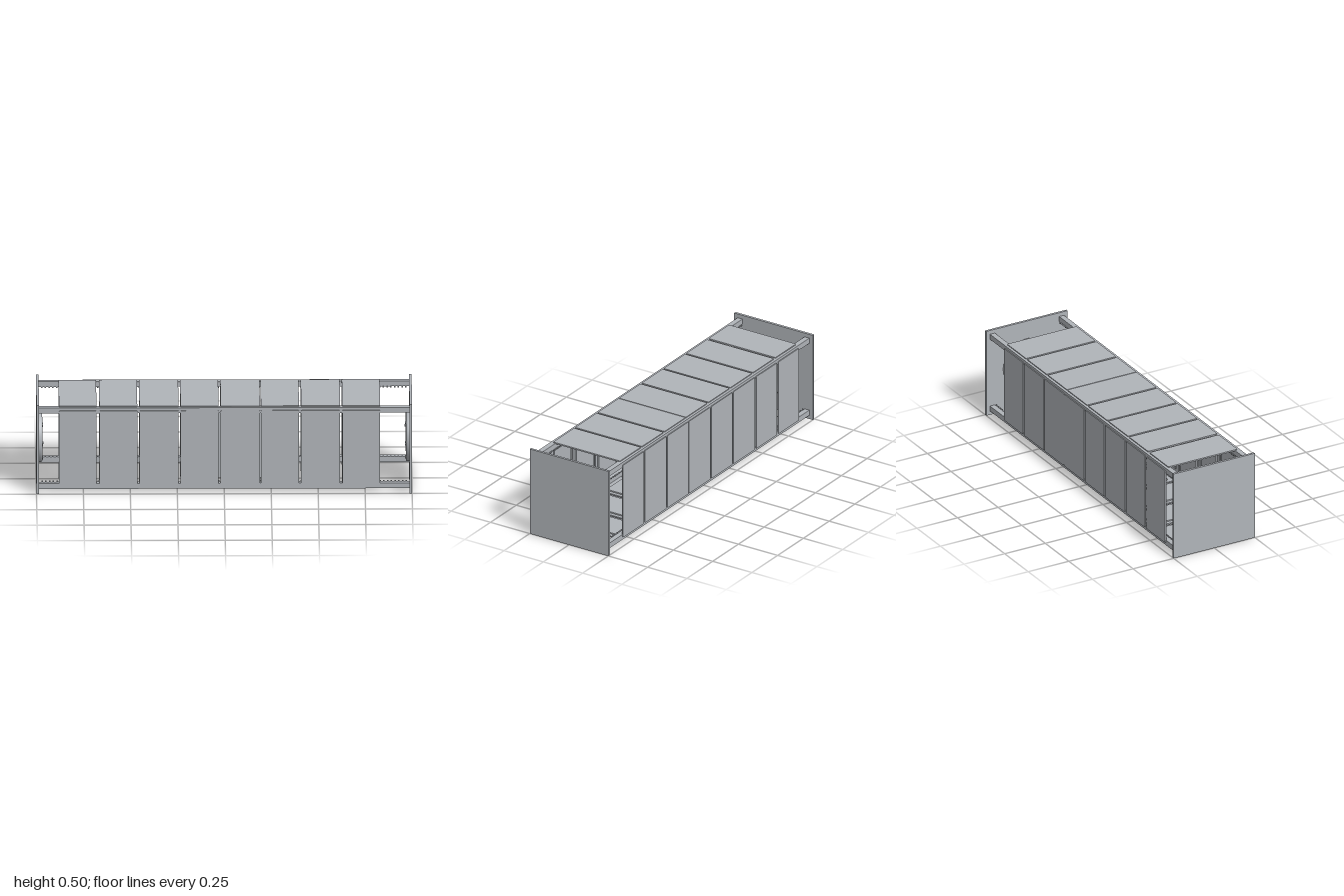
import * as THREE from 'three';

export function createModel() {
  const model = new THREE.Group();
  model.name = 'boxFrame';
  const grey = new THREE.MeshStandardMaterial({ color: 0xb0b4b9 });
  grey.name = 'satin grey';

  const add = (parent, name, geometry, x = 0, y = 0, z = 0) => {
    const mesh = new THREE.Mesh(geometry, grey);
    mesh.name = name;
    mesh.position.set(x, y, z);
    parent.add(mesh);
    return mesh;
  };
  const box = (w, h, d) => new THREE.BoxGeometry(w, h, d);

  // Everything is built around the long axis, then lifted to stand on the floor
  const body = new THREE.Group();
  body.name = 'body';
  body.position.y = 0.25;
  model.add(body);

  // Square end plates, each with a shallow rimmed dish and bolts on its inner face
  const dishProfile = [[0, 0.008], [0.08, 0.008], [0.115, 0.011], [0.128, 0.018],
    [0.14, 0.018], [0.147, 0.012], [0.147, 0]].map(([r, h]) => new THREE.Vector2(r, h)).reverse();
  for (const s of [-1, 1]) {
    const end = new THREE.Group();
    end.name = s > 0 ? 'leftEnd' : 'rightEnd';
    body.add(end);
    add(end, 'endPlate', box(0.014, 0.5, 0.5), s * 0.993);
    const dish = add(end, 'dish', new THREE.LatheGeometry(dishProfile, 48), s * 0.986);
    dish.rotation.z = s * Math.PI / 2;
    for (let i = 0; i < 8; i++) {
      const a = i * Math.PI / 4;
      const bolt = add(end, 'dishBolt', new THREE.CylinderGeometry(0.006, 0.006, 0.006, 12),
        s * 0.966, 0.134 * Math.cos(a), 0.134 * Math.sin(a));
      bolt.rotation.z = Math.PI / 2;
    }
  }

  // Four corner rails with a row of small studs along their inner edges
  for (const sy of [-1, 1]) for (const sz of [-1, 1]) {
    const rail = new THREE.Group();
    rail.name = 'cornerRail';
    body.add(rail);
    add(rail, 'railBar', box(1.972, 0.03, 0.03), 0, sy * 0.213, sz * 0.213);
    const studs = new THREE.InstancedMesh(box(0.008, 0.006, 0.006), grey, 98);
    studs.name = 'railStuds';
    const m = new THREE.Matrix4();
    for (let i = 0; i < 98; i++) {
      studs.setMatrixAt(i, m.makeTranslation(-0.97 + i * 0.02, sy * 0.196, sz * 0.196));
    }
    rail.add(studs);
  }

  // Panels: rounded thin sheet with a thinner backing plate, eight along each side
  const panelEdges = [[-0.88, -0.68], [-0.665, -0.463], [-0.452, -0.243], [-0.233, -0.03],
    [-0.019, 0.19], [0.195, 0.398], [0.409, 0.617], [0.628, 0.83]];
  const panelGeometry = (w) => {
    const x = w / 2, y = 0.213, r = 0.006;
    const shape = new THREE.Shape();
    shape.moveTo(-x + r, -y);
    shape.lineTo(x - r, -y);
    shape.quadraticCurveTo(x, -y, x, -y + r);
    shape.lineTo(x, y - r);
    shape.quadraticCurveTo(x, y, x - r, y);
    shape.lineTo(-x + r, y);
    shape.quadraticCurveTo(-x, y, -x, y - r);
    shape.lineTo(-x, -y + r);
    shape.quadraticCurveTo(-x, -y, -x + r, -y);
    return new THREE.ExtrudeGeometry(shape, { depth: 0.008, bevelEnabled: false, curveSegments: 4 });
  };
  ['front', 'top', 'back', 'bottom'].forEach((name, i) => {
    const side = new THREE.Group();
    side.name = name + 'Panels';
    side.rotation.x = -i * Math.PI / 2;
    body.add(side);
    for (const [a, b] of panelEdges) {
      add(side, 'panel', panelGeometry(b - a), (a + b) / 2, 0, 0.225);
      add(side, 'panelBacking', box(b - a - 0.04, 0.34, 0.007), (a + b) / 2, 0, 0.2215);
    }
  });

  // Upright equipment board behind the middle of the front
  add(body, 'innerBoard', box(0.23, 0.4, 0.014), 0.083, 0, 0.124);
  add(body, 'innerBoardBlock', box(0.04, 0.36, 0.035), -0.012, 0, 0.1);

  return model;
}
